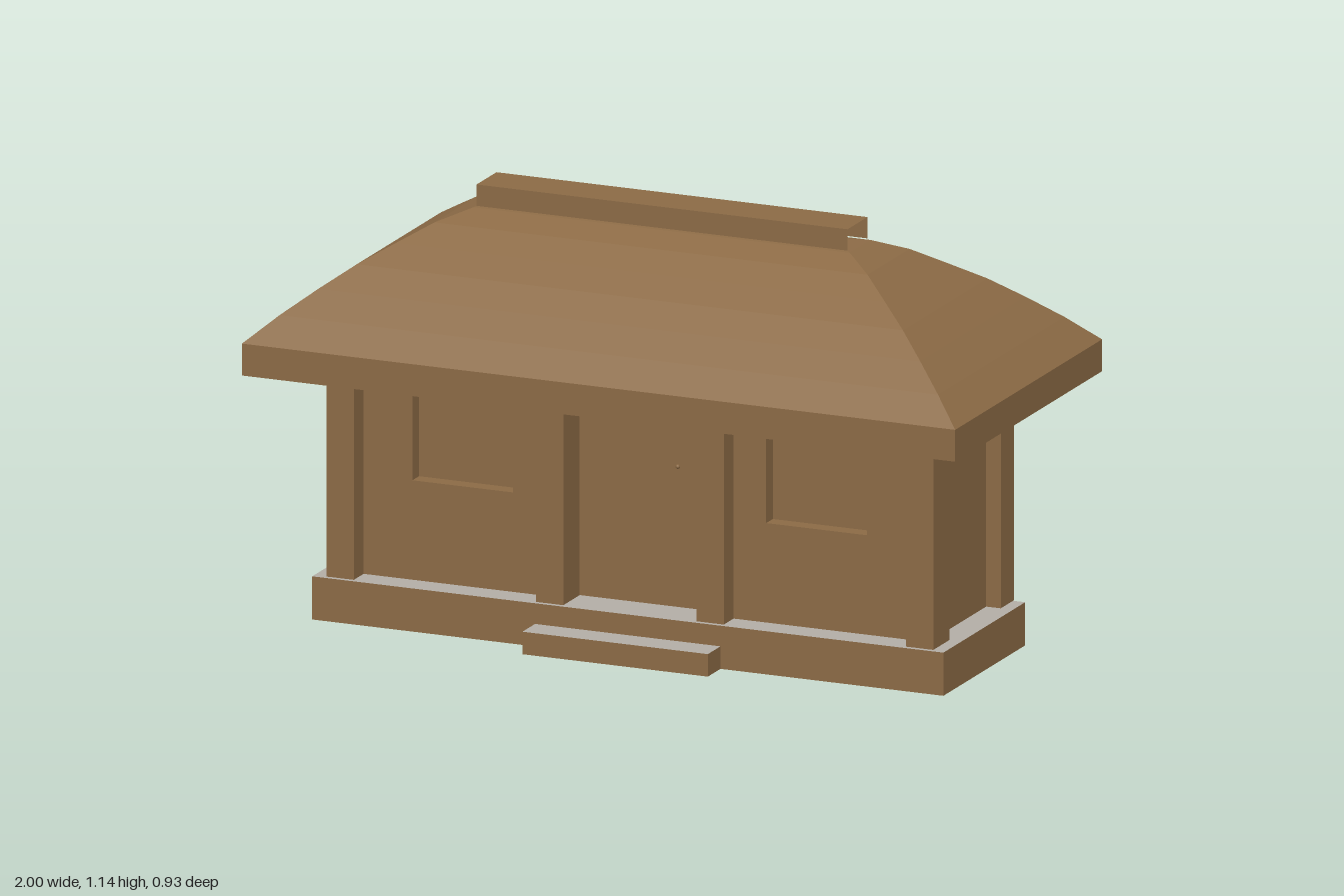
import * as THREE from 'three';

const wood = new THREE.MeshStandardMaterial({ color: 0x8b6a45, side: THREE.DoubleSide });
wood.name = 'brown wood';
const stone = new THREE.MeshStandardMaterial({ color: 0xb2ada5, side: THREE.DoubleSide });
stone.name = 'grey stone';

// Box between two corners, keeping only the listed faces (0 +x, 1 -x, 2 +y, 3 -y, 4 +z, 5 -z)
function box(x0, x1, y0, y1, z0, z1, faces = [0, 1, 2, 3, 4, 5]) {
  const g = new THREE.BoxGeometry(x1 - x0, y1 - y0, z1 - z0);
  const idx = Array.from(g.index.array);
  g.setIndex(faces.flatMap((f) => idx.slice(f * 6, f * 6 + 6)));
  g.clearGroups();
  g.translate((x0 + x1) / 2, (y0 + y1) / 2, (z0 + z1) / 2);
  return g;
}

// Wall panel with one rectangular window opening
function panel(x0, x1, y0, y1, wx0, wx1, wy0, wy1, z, depth) {
  const rect = (T, a, b, c, d) => {
    const s = new T();
    s.moveTo(a, c); s.lineTo(b, c); s.lineTo(b, d); s.lineTo(a, d); s.closePath();
    return s;
  };
  const shape = rect(THREE.Shape, x0, x1, y0, y1);
  shape.holes.push(rect(THREE.Path, wx0, wx1, wy0, wy1));
  const g = new THREE.ExtrudeGeometry(shape, { depth, bevelEnabled: false });
  g.translate(0, 0, z);
  return g;
}

// Hipped roof: shrinking rectangular rings, with separate corners per face
function hippedRoof() {
  const profile = [[0.465, 0.77], [0.4, 0.838], [0.333, 0.9], [0.267, 0.957],
    [0.2, 1.005], [0.133, 1.052], [0.066, 1.084], [0, 1.098]];
  const ring = ([z, y]) => {
    const x = 0.45 + 0.55 * (z / 0.465);
    return [[-x, y, z], [x, y, z], [x, y, -z], [-x, y, -z]];
  };
  const pos = [];
  for (let i = 0; i < profile.length - 1; i++) {
    const lo = ring(profile[i]), hi = ring(profile[i + 1]);
    for (let k = 0; k < 4; k++) {
      const n = (k + 1) % 4;
      pos.push(...lo[k], ...lo[n], ...hi[n]);
      if (i < profile.length - 2 || k % 2 === 0) pos.push(...lo[k], ...hi[n], ...hi[k]);
    }
  }
  const g = new THREE.BufferGeometry();
  g.setAttribute('position', new THREE.Float32BufferAttribute(pos, 3));
  g.computeVertexNormals();
  return g;
}

export function createModel() {
  const house = new THREE.Group();
  house.name = 'house';
  const add = (name, geometry, material = wood) => {
    const m = new THREE.Mesh(geometry, material);
    m.name = name;
    house.add(m);
    return m;
  };
  const sides = [0, 1, 4, 5];
  const floor = 0.115, top = 0.77;

  // Foundation and front step: wooden sides with stone tops
  add('foundationSides', box(-0.885, 0.885, 0, floor, -0.238, 0.28, sides));
  add('foundationTop', box(-0.885, 0.885, 0, floor, -0.238, 0.28, [2]), stone);
  add('stepSides', box(-0.26, 0.26, 0, 0.06, 0.28, 0.36, sides));
  add('stepTop', box(-0.26, 0.26, 0, 0.06, 0.28, 0.36, [2]), stone);

  // Wall core; its front face is the recessed entrance
  add('wallCore', box(-0.81, 0.81, floor, top, -0.16, 0.163, sides));

  // Front bays and back wall with window openings
  add('frontBayLeft', panel(0.225, 0.81, floor, top, 0.355, 0.637, 0.38, 0.74, 0.163, 0.042));
  add('frontBayRight', panel(-0.81, -0.225, floor, top, -0.637, -0.355, 0.38, 0.74, 0.163, 0.042));
  add('backWall', panel(-0.81, 0.81, floor, top, -0.14, 0.14, 0.37, 0.74, -0.2, 0.04));

  // Posts
  for (const x of [-0.8125, -0.225, 0.225, 0.8125]) {
    add('frontPost', box(x - 0.0385, x + 0.0385, floor, top, 0.163, 0.267));
  }
  for (const x of [-0.8125, 0, 0.8125]) {
    add('backPost', box(x - 0.0385, x + 0.0385, floor, top, -0.243, -0.16));
  }

  // Round beams along the post heads, tucked inside the eaves
  for (const z of [-0.23, 0.23]) {
    const g = new THREE.CylinderGeometry(0.04, 0.04, 1.7, 16);
    g.rotateZ(Math.PI / 2);
    add('eaveBeam', g).position.set(0, 0.73, z);
  }

  // Door knob
  add('doorKnob', new THREE.SphereGeometry(0.006, 10, 8)).position.set(0.09, 0.49, 0.166);

  // Roof: eave boards, soffit, curved hips and open-ended ridge cap
  add('eaveBoards', box(-1, 1, 0.685, top, -0.465, 0.465, sides));
  add('soffit', box(-1, 1, 0.685, top - 0.002, -0.465, 0.465, [2]));
  add('roof', hippedRoof());
  add('ridgeCap', box(-0.52, 0.52, 1.088, 1.145, -0.063, 0.063, [2, 4, 5]));

  return house;
}
